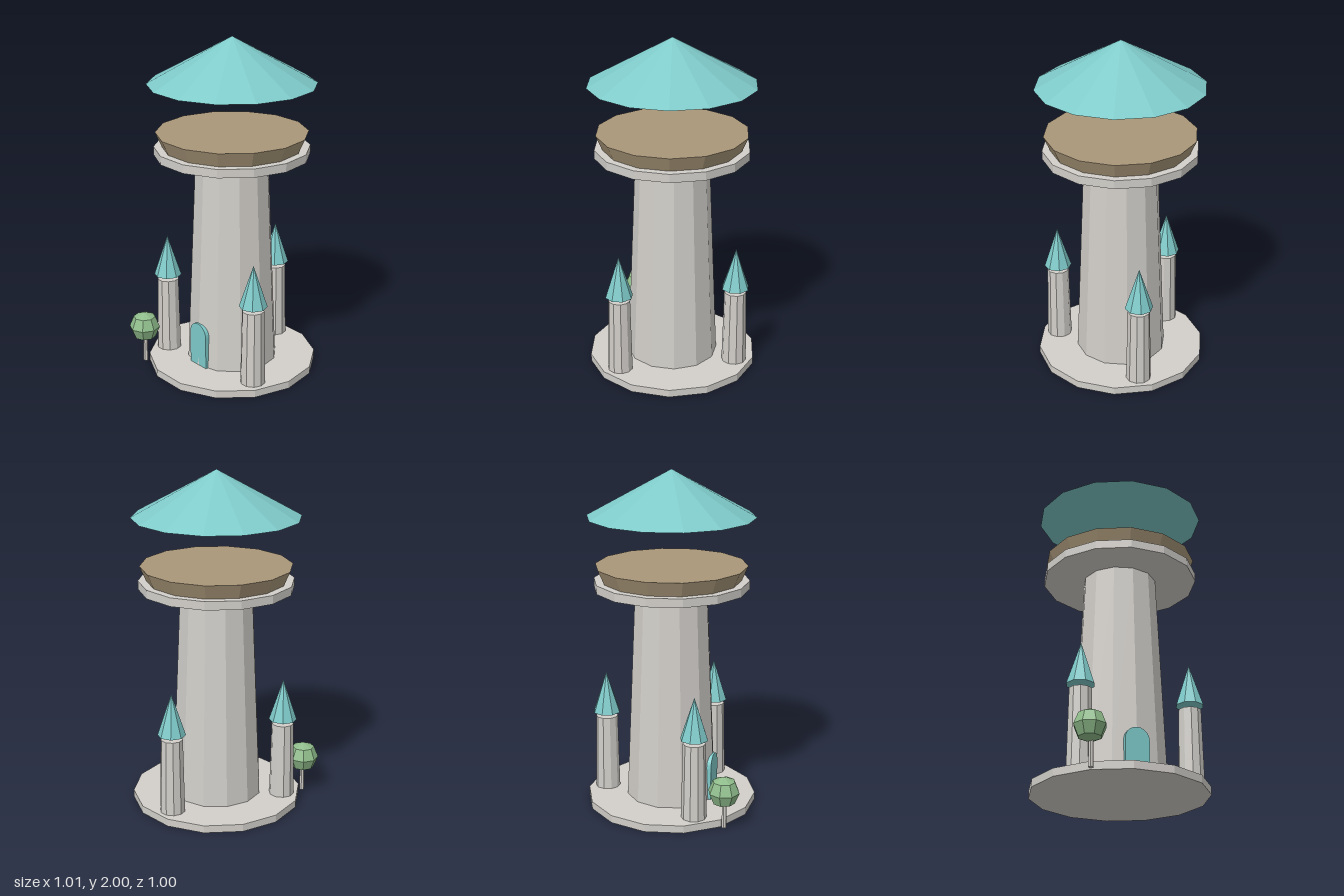
import * as THREE from 'three';

const CZ = -0.01; // z of the tower axis

function material(name, color) {
  const m = new THREE.MeshStandardMaterial({ color, flatShading: true });
  m.name = name;
  return m;
}

export function createModel() {
  const group = new THREE.Group();
  const stone = material('pale stone', 0xd2cfca);
  const teal = material('teal', 0x7fcaca);
  const wood = material('tan wood', 0xa99779);
  const leaf = material('leaf green', 0x8fbc8b);

  const add = (name, geometry, mat, x, y, z, parent = group) => {
    const mesh = new THREE.Mesh(geometry, mat);
    mesh.name = name;
    mesh.position.set(x, y, z);
    parent.add(mesh);
    return mesh;
  };

  // Tapered prism standing between two heights, with a corner facing +x
  const prism = (name, mat, rTop, rBottom, y0, y1, sides, x = 0, z = CZ, parent = group) => {
    const geometry = rTop === 0
      ? new THREE.ConeGeometry(rBottom, y1 - y0, sides)
      : new THREE.CylinderGeometry(rTop, rBottom, y1 - y0, sides);
    geometry.rotateY(Math.PI / 2);
    return add(name, geometry, mat, x, (y0 + y1) / 2, z, parent);
  };

  // Main tower, with a floating roof over the open lookout
  prism('base', stone, 0.505, 0.505, 0, 0.045, 14);
  prism('towerShaft', stone, 0.214, 0.27, 0.045, 1.315, 12);
  prism('gallery', stone, 0.452, 0.452, 1.315, 1.365, 14);
  prism('galleryDeck', wood, 0.442, 0.405, 1.365, 1.45, 14);
  prism('mainRoof', teal, 0, 0.487, 1.732, 2, 14);

  // Three turrets spaced evenly round the tower
  for (let i = 0; i < 3; i++) {
    const a = THREE.MathUtils.degToRad(23.3 + i * 120);
    const x = 0.398 * Math.cos(a);
    const z = CZ + 0.398 * Math.sin(a);
    const turret = new THREE.Group();
    turret.name = 'turret';
    group.add(turret);
    prism('turretColumn', stone, 0.065, 0.074, 0.045, 0.5, 10, x, z, turret);
    prism('turretRoof', teal, 0, 0.082, 0.525, 0.775, 8, x, z, turret);
  }

  // Arched door
  const arch = new THREE.Shape();
  arch.moveTo(-0.071, 0);
  arch.lineTo(0.071, 0);
  arch.lineTo(0.071, 0.2);
  arch.absarc(0, 0.2, 0.071, 0, Math.PI, false);
  arch.closePath();
  add('door', new THREE.ExtrudeGeometry(arch, { depth: 0.058, bevelEnabled: false, curveSegments: 6 }),
    teal, 0, 0.045, 0.2);

  // Small tree beside the base
  const tree = new THREE.Group();
  tree.name = 'tree';
  group.add(tree);
  prism('trunk', stone, 0.013, 0.015, 0.005, 0.18, 6, -0.32, 0.41, tree);
  add('crown', new THREE.SphereGeometry(0.092, 8, 4), leaf, -0.326, 0.23, 0.408, tree);

  return group;
}
